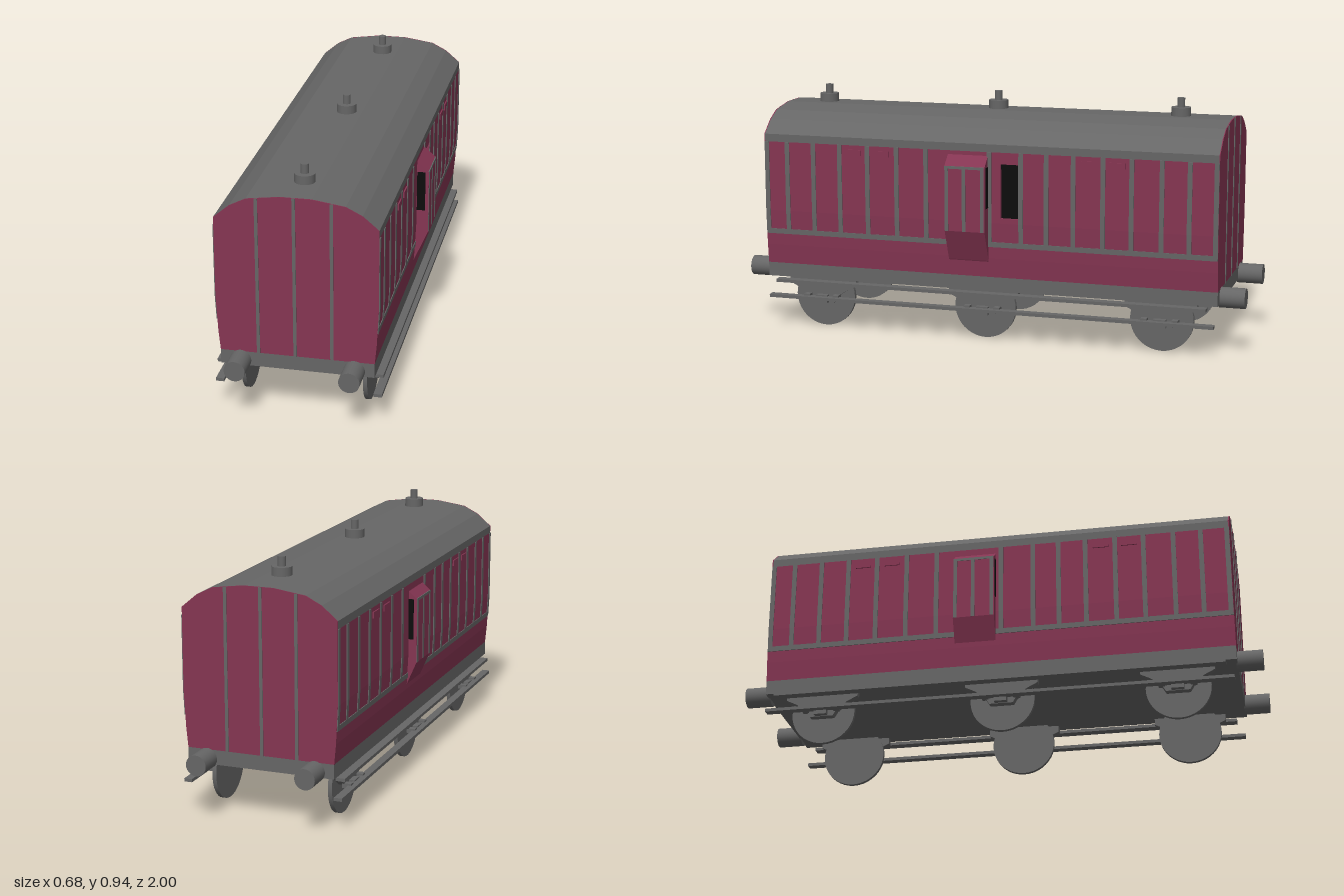
import * as THREE from 'three';

const mat = (name, color) => {
  const m = new THREE.MeshStandardMaterial({ color });
  m.name = name;
  return m;
};

export function createModel() {
  const grey = mat('grey', 0x666666);
  const maroon = mat('maroon', 0x853552);
  const black = mat('black', 0x0d0d0d);
  const paleGrey = mat('pale grey', 0x8c8c8c);

  const model = new THREE.Group();
  model.name = 'railwayCarriage';
  const carriage = new THREE.Group();
  carriage.name = 'carriage';
  carriage.position.x = -0.008;
  model.add(carriage);

  const add = (parent, name, geo, material, x = 0, y = 0, z = 0) => {
    const m = new THREE.Mesh(geo, material);
    m.name = name;
    m.position.set(x, y, z);
    parent.add(m);
    return m;
  };
  // box given by its limits
  const box = (parent, name, material, x0, x1, y0, y1, z0, z1) =>
    add(parent, name, new THREE.BoxGeometry(x1 - x0, y1 - y0, z1 - z0), material,
      (x0 + x1) / 2, (y0 + y1) / 2, (z0 + z1) / 2);
  // cross-section in x, y drawn along z
  const prism = (parent, name, material, pts, z0, z1) => {
    const shape = new THREE.Shape(pts.map(p => new THREE.Vector2(...p)));
    const geo = new THREE.ExtrudeGeometry(shape, { depth: z1 - z0, bevelEnabled: false });
    return add(parent, name, geo, material, 0, 0, z0);
  };

  // half profile of the body
  const side = [[0.283, 0.255], [0.29, 0.33], [0.297, 0.47], [0.297, 0.775]];
  const arch = [[0.297, 0.775], [0.238, 0.825], [0.178, 0.855], [0.057, 0.872]];
  const sideX = y => {
    for (let i = 1; i < side.length; i++) {
      const [a, b] = [side[i - 1], side[i]];
      if (y <= b[1]) return a[0] + (b[0] - a[0]) * (y - a[1]) / (b[1] - a[1]);
    }
    return 0.297;
  };
  // strip of side wall between two heights, following the profile
  const band = (parent, name, material, y0, y1, inner, outer, z0, z1) => {
    const ys = [y0, ...side.map(p => p[1]).filter(y => y > y0 && y < y1), y1];
    const out = ys.map(y => [sideX(y) + outer, y]);
    const inn = ys.map(y => [sideX(y) + inner, y]).reverse();
    prism(parent, name, material, [...out, ...inn], z0, z1);
  };
  const mirrored = pts => pts.map(([x, y]) => [-x, y]).reverse();

  // underframe and floor
  box(carriage, 'underframe', grey, -0.283, 0.283, 0.2, 0.255, -0.905, 0.905);
  box(carriage, 'floor', paleGrey, -0.27, 0.27, 0.255, 0.259, -0.895, 0.895);

  // roof shell
  const outerRoof = [[0.297, 0.745], ...arch];
  const innerRoof = [[0.287, 0.745], [0.287, 0.77], [0.232, 0.815], [0.175, 0.844], [0.056, 0.861]];
  prism(carriage, 'roof', grey, [...outerRoof, ...mirrored(outerRoof),
    ...mirrored(innerRoof).reverse(), ...innerRoof.slice().reverse()], -0.902, 0.902);

  // end walls with upright beading
  const endProfile = [...side, ...arch.slice(1)];
  for (const s of [1, -1]) {
    const [z0, z1] = s > 0 ? [0.901, 0.905] : [-0.905, -0.901];
    prism(carriage, 'endWall', maroon, [...endProfile, ...mirrored(endProfile)], z0, z1);
    for (const [x, top] of [[-0.142, 0.859], [-0.007, 0.871], [0.128, 0.861]])
      box(carriage, 'endBeading', grey, x - 0.006, x + 0.006, 0.255, top,
        s > 0 ? 0.903 : -0.908, s > 0 ? 0.908 : -0.903);
    // buffers
    for (const x of [-0.209, 0.209]) {
      add(carriage, 'buffer', new THREE.CylinderGeometry(0.039, 0.039, 0.1, 24),
        grey, x, 0.221, s * 0.95).rotation.x = Math.PI / 2;
    }
  }

  // roof ventilators
  for (const z of [0.747, 0.032, -0.698]) {
    add(carriage, 'ventBase', new THREE.CylinderGeometry(0.038, 0.038, 0.045, 20), grey, -0.002, 0.8825, z);
    add(carriage, 'ventStem', new THREE.CylinderGeometry(0.015, 0.015, 0.04, 16), grey, -0.002, 0.921, z);
  }

  // spring hanger and axle guard, drawn in z, y
  const guardHalf = [[0.045, 0.1], [0.06, 0.125], [0.1, 0.155], [0.14, 0.175], [0.14, 0.2]];
  const guardShape = new THREE.Shape([...guardHalf, ...mirrored(guardHalf)].map(p => new THREE.Vector2(...p)));

  const beadingZ = [0.895, 0.81, 0.7, 0.59, 0.475, 0.355, 0.235, -0.02,
    -0.145, -0.245, -0.35, -0.465, -0.575, -0.69, -0.795, -0.895];

  // one whole side, built facing +x; the other is turned round
  const buildSide = (name, hasOpening) => {
    const g = new THREE.Group();
    g.name = name;
    carriage.add(g);

    // wall panels, leaving a window opening on one side
    const wall = (y0, y1, z0, z1) => band(g, 'sideWall', maroon, y0, y1, -0.01, 0, z0, z1);
    if (hasOpening) {
      wall(0.255, 0.49, -0.901, 0.901);
      wall(0.49, 0.7, -0.901, -0.135);
      wall(0.49, 0.7, -0.065, 0.901);
      wall(0.7, 0.745, -0.901, 0.901);
    } else {
      wall(0.255, 0.745, -0.901, 0.901);
      box(g, 'innerLining', black, 0.268, 0.272, 0.27, 0.745, -0.89, 0.89);
    }

    // beading and hoods over the doors
    band(g, 'waistBeading', grey, 0.376, 0.396, -0.002, 0.003, -0.904, 0.904);
    for (const z of beadingZ)
      band(g, 'uprightBeading', grey, 0.39, 0.745, -0.002, 0.003, z - 0.009, z + 0.009);
    for (const z of [0.53, 0.415, -0.41, -0.52])
      box(g, 'doorHood', maroon, 0.295, 0.302, 0.705, 0.728, z - 0.03, z + 0.03);

    // projecting lookout
    const lookout = new THREE.Group();
    lookout.name = 'lookout';
    if (!hasOpening) lookout.position.set(-0.013, 0, 0.016);
    g.add(lookout);
    prism(lookout, 'lookoutBody', maroon,
      [[0.28, 0.3], [0.291, 0.32], [0.343, 0.44], [0.343, 0.69], [0.297, 0.73], [0.28, 0.73]], -0.015, 0.145);
    for (const z of [0.137, 0.068, -0.005])
      box(lookout, 'lookoutBeading', grey, 0.341, 0.345, 0.44, 0.69, z - 0.007, z + 0.007);
    box(lookout, 'lookoutTopBeading', grey, 0.341, 0.345, 0.682, 0.692, -0.012, 0.144);
    for (const z of [-0.015, 0.145])
      box(lookout, 'lookoutWindow', black, 0.298, 0.33, 0.53, 0.688, z - 0.002, z + 0.002);

    // footboards
    box(g, 'upperFootboard', grey, 0.272, 0.308, 0.181, 0.193, -0.865, 0.865);
    box(g, 'lowerFootboard', grey, 0.277, 0.308, 0.117, 0.129, -0.895, 0.895);
    // wheels and running gear
    for (const c of [0.682, 0.015, -0.685]) {
      const z = hasOpening ? c : -c;
      add(g, 'wheel', new THREE.CylinderGeometry(0.123, 0.123, 0.016, 40), grey, 0.228, 0.124, z)
        .rotation.z = Math.PI / 2;
      add(g, 'axleGuard', new THREE.ExtrudeGeometry(guardShape, { depth: 0.028, bevelEnabled: false }),
        grey, 0.236, 0, z).rotation.y = Math.PI / 2;
      box(g, 'axleBox', grey, 0.26, 0.285, 0.102, 0.134, z - 0.024, z + 0.024);
      for (const d of [-0.06, 0.06])
        box(g, 'footboardBracket', grey, 0.255, 0.29, 0.118, 0.136, z + d - 0.012, z + d + 0.012);
    }
    return g;
  };
  buildSide('leftSide', true);
  buildSide('rightSide', false).rotation.y = Math.PI;

  return model;
}
